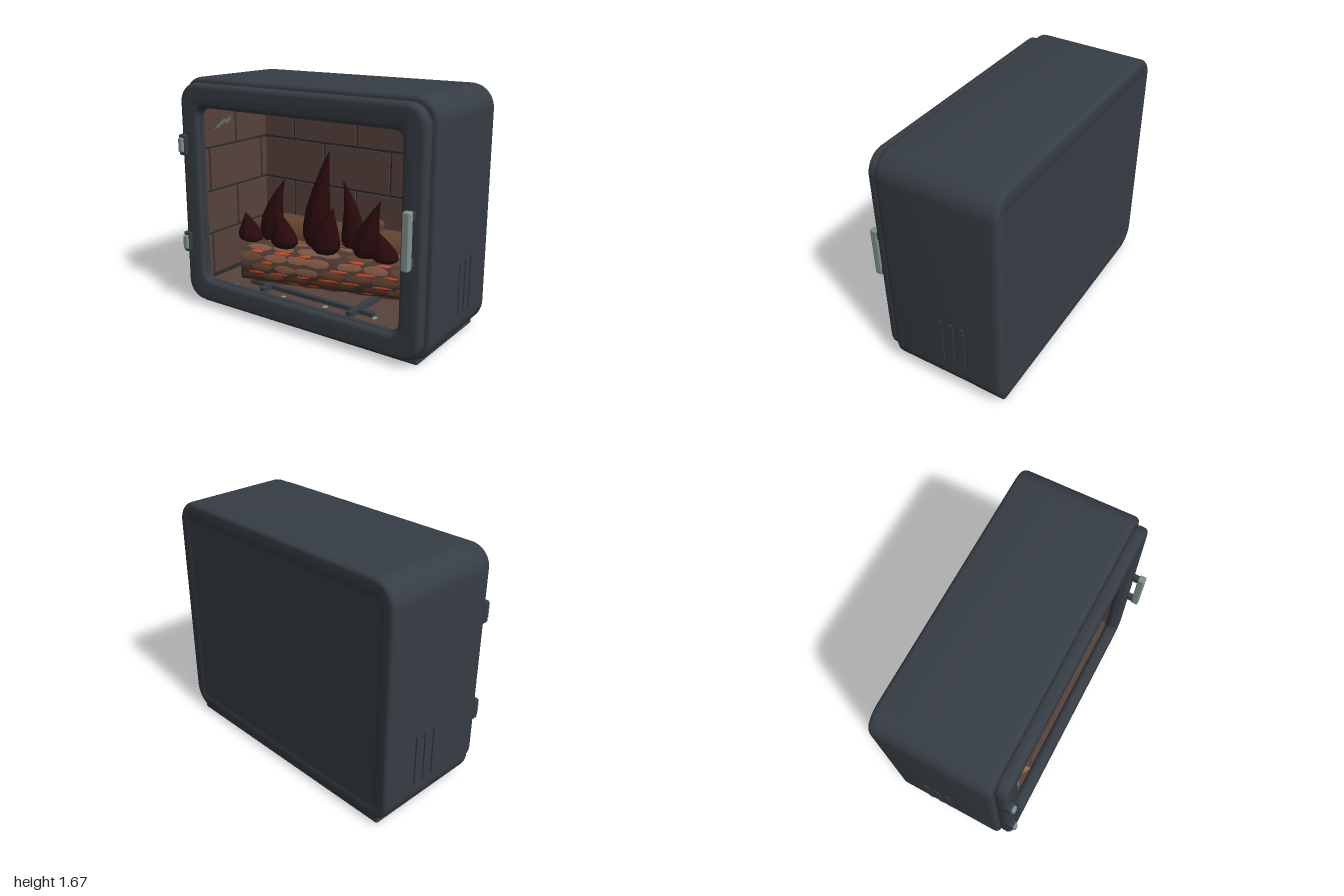
import * as THREE from 'three';
import { mergeGeometries, toCreasedNormals } from 'three/addons/utils/BufferGeometryUtils.js';
import { RoundedBoxGeometry } from 'three/addons/geometries/RoundedBoxGeometry.js';

const mat = (name, color, side = THREE.FrontSide) => {
  const m = new THREE.MeshStandardMaterial({ color, side });
  m.name = name;
  return m;
};

export function createModel() {
  const M = {
    metal: mat('dark metal', 0x363d44),
    silver: mat('brushed silver', 0x7f928f, THREE.DoubleSide),
    brick: mat('brick', 0x58433c),
    mortar: mat('mortar', 0x2b2c2d),
    bark: mat('charred bark', 0x4a3833),
    plateDark: mat('brown bark', 0x63442f),
    plateLight: mat('light bark', 0x7f5640),
    ember: mat('ember', 0xe0451f),
    wood: mat('cut wood', 0xa67c4a),
    flame: mat('dark flame', 0x2a0a0c),
  };
  const root = new THREE.Group();
  root.name = 'fireplaceStove';
  let seed = 7;
  const rnd = () => (seed = (seed * 16807) % 2147483647) / 2147483647;
  const add = (name, geo, m, parent = root) => {
    const mesh = new THREE.Mesh(geo, m);
    mesh.name = name;
    parent.add(mesh);
    return mesh;
  };
  const box = (x0, x1, y0, y1, z0, z1, r = 0) => {
    const s = [x1 - x0, y1 - y0, z1 - z0];
    const g = r ? new RoundedBoxGeometry(...s, 2, r) : new THREE.BoxGeometry(...s);
    return g.translate((x0 + x1) / 2, (y0 + y1) / 2, (z0 + z1) / 2);
  };
  const group = (name) => {
    const g = new THREE.Group();
    g.name = name;
    root.add(g);
    return g;
  };

  // Rounded rectangle, extruded from z0 to z1, with an optional opening
  const roundRect = (P, hw, y0, y1, r) => {
    const p = new P();
    p.absarc(hw - r, y1 - r, r, 0, Math.PI / 2);
    p.absarc(-hw + r, y1 - r, r, Math.PI / 2, Math.PI);
    p.absarc(-hw + r, y0 + r, r, Math.PI, Math.PI * 1.5);
    p.absarc(hw - r, y0 + r, r, Math.PI * 1.5, Math.PI * 2);
    p.closePath();
    return p;
  };
  const slab = (outer, hole, z0, z1, bt, bs, segs = 3) => {
    const s = roundRect(THREE.Shape, ...outer);
    if (hole) s.holes.push(roundRect(THREE.Path, ...hole));
    const g = new THREE.ExtrudeGeometry(s, {
      depth: z1 - z0 - 2 * bt, bevelThickness: bt, bevelSize: bs,
      bevelOffset: -bs, bevelSegments: segs, curveSegments: 8,
    });
    return toCreasedNormals(g.translate(0, 0, z0 + bt), 0.6);
  };

  // Casing, slightly narrower at the back
  const casing = slab([1, 0.025, 1.67, 0.16], [0.88, 0.15, 1.53, 0.02], -0.49, 0.32, 0.035, 0.025);
  const cp = casing.attributes.position;
  for (let i = 0; i < cp.count; i++) {
    cp.setX(i, cp.getX(i) * (1 - 0.012 * (0.32 - cp.getZ(i)) / 0.81));
  }
  add('casing', casing, M.metal);
  add('backPanel', slab([0.95, 0.06, 1.635, 0.13], null, -0.488, -0.43, 0.008, 0.008, 1), M.metal);
  add('base', box(-0.91, 0.91, 0, 0.12, -0.475, 0.31, 0.015), M.metal);
  for (const s of [-1, 1]) {
    for (const z of [-0.065, -0.145, -0.225]) {
      add('sideVent', box(-0.014, 0.014, 0.24, 0.6, z - 0.015, z + 0.015).translate(s * 0.988, 0, 0), M.metal);
    }
  }

  // Door with opening, inner seal, hinges and handle
  add('doorFrame', slab([0.965, 0.05, 1.635, 0.14], [0.81, 0.21, 1.475, 0.07], 0.31, 0.4, 0.03, 0.03, 4), M.metal);
  add('doorSeal', slab([0.85, 0.17, 1.515, 0.09], [0.802, 0.218, 1.467, 0.065], 0.33, 0.365, 0.008, 0.008, 2), M.metal);
  for (const y of [0.485, 1.2]) {
    add('hingePlate', box(-0.97, -0.908, y - 0.075, y + 0.075, 0.38, 0.425, 0.012), M.metal);
    add('hingePin', box(-0.962, -0.92, y - 0.052, y + 0.052, 0.39, 0.443, 0.01), M.silver);
  }
  add('handleBar', box(0.872, 0.922, 0.67, 1.03, 0.44, 0.49, 0.01), M.silver);
  for (const y of [0.705, 0.995]) {
    add('handlePost', box(0.88, 0.914, y - 0.025, y + 0.025, 0.38, 0.45), M.metal);
  }
  const glint = new THREE.Shape([[-0.685, 1.325], [-0.64, 1.345], [-0.58, 1.39], [-0.57, 1.375], [-0.515, 1.42],
    [-0.535, 1.42], [-0.51, 1.45], [-0.57, 1.405], [-0.585, 1.415], [-0.65, 1.365]].map((p) => new THREE.Vector2(...p)));
  add('glassGlint', new THREE.ShapeGeometry(glint).translate(0, 0, 0.36), M.silver);

  // Brick lining: staggered courses clipped to each wall
  const wall = (name, hw) => {
    const g = group(name);
    add('mortar', box(-hw, hw, 0.15, 1.53, -0.04, -0.012), M.mortar, g);
    const bricks = [];
    for (let row = 0; row < 4; row++) {
      for (let k = -3; k < 4; k++) {
        const c = (k + (row % 2 ? 0.5 : 0)) * 0.57;
        const a = Math.max(-hw, c - 0.275), b = Math.min(hw, c + 0.275);
        if (b - a > 0.03) bricks.push(box(a, b, 0.21 + row * 0.32, 0.51 + row * 0.32, -0.02, 0));
      }
    }
    add('bricks', mergeGeometries(bricks), M.brick, g);
    return g;
  };
  wall('backWall', 0.87).position.z = -0.38;
  for (const s of [-1, 1]) {
    const w = wall('sideWall', 0.35);
    w.position.set(s * 0.85, 0, -0.04);
    w.rotation.y = -s * Math.PI / 2;
  }
  add('hearthFloor', box(-0.87, 0.87, 0.13, 0.17, -0.4, 0.32), M.brick);
  add('fireboxCeiling', box(-0.87, 0.87, 1.5, 1.535, -0.4, 0.31), M.mortar);

  // Grate bars and ash flakes on the floor
  for (const z of [0.16, -0.2]) add('grateRail', box(-0.55, 0.5, 0.17, 0.2, z - 0.018, z + 0.018), M.metal);
  for (const x of [-0.37, 0.37]) add('grateCrossBar', box(x - 0.02, x + 0.02, 0.17, 0.21, -0.25, 0.27), M.metal);
  for (const [x, z] of [[-0.4, 0.21], [-0.19, 0.25], [0.15, 0.22], [0.52, 0.18], [-0.62, 0.27]]) {
    const ash = add('ashFlake', new THREE.IcosahedronGeometry(0.025, 0).scale(1, 0.3, 0.7), M.silver);
    ash.position.set(x, 0.175, z);
    ash.rotation.y = x * 9;
  }

  // Main log, lying along x with a slanted left cut
  const R = 0.152, L = 1.32;
  const log = group('mainLog');
  log.position.set(0.015, 0.37, 0.02);
  log.rotation.y = 0.27;
  const slant = (g) => {
    const p = g.attributes.position;
    for (let i = 0; i < p.count; i++) {
      const w = THREE.MathUtils.clamp(-p.getX(i) / (L / 2), 0, 1);
      p.setX(i, p.getX(i) + 0.48 * p.getZ(i) * w);
    }
    g.computeVertexNormals();
    return g;
  };
  add('logCore', slant(new THREE.CylinderGeometry(R, R, L, 20, 6, true).rotateZ(-Math.PI / 2)), M.bark, log);
  for (const s of [-1, 1]) {
    add('cutEnd', slant(new THREE.CircleGeometry(R + 0.004, 20).rotateY(s * Math.PI / 2).translate(s * L / 2, 0, 0)), M.wood, log);
  }
  for (const a of [0.5, 2.9, 4.4]) {
    const crack = new THREE.CircleGeometry(0.03, 3).scale(1, 0.12, 1).translate(0.11, 0, 0).rotateZ(a);
    add('endCrack', slant(crack.rotateY(-Math.PI / 2).translate(-L / 2 - 0.003, 0, 0)), M.bark, log);
  }
  // Irregular patch wrapped round the log
  const patch = (u, ang, su, sa, lift) => {
    const g = new THREE.CircleGeometry(1, 8);
    const p = g.attributes.position;
    for (let i = 0; i < p.count; i++) {
      const k = i === 0 ? 0 : 0.82 + 0.3 * rnd();
      const a = ang + p.getY(i) * k * sa;
      const r = R + lift + (i === 0 ? 0.006 : 0);
      const x = THREE.MathUtils.clamp(u + p.getX(i) * k * su, -L / 2, L / 2);
      p.setXYZ(i, x, r * Math.sin(a), r * Math.cos(a));
    }
    const last = p.count - 1;
    p.setXYZ(last, p.getX(1), p.getY(1), p.getZ(1));
    return slant(g);
  };
  const light = [], dark = [], embers = [];
  for (let row = 0; row < 13; row++) {
    const a = row * Math.PI * 2 / 13 - 1.45;
    for (let k = 0; k < 7; k++) {
      const u = -0.57 + k * 0.19 + (row % 2) * 0.08 + (rnd() - 0.5) * 0.05;
      const upper = Math.sin(a) > 0.3;
      (rnd() < (upper ? 0.75 : 0.35) ? light : dark).push(patch(u, a, 0.1, 0.2, 0.004));
      if (row < 5 && rnd() < 0.75) embers.push(patch(u + 0.05, a + 0.24, 0.05 + 0.03 * rnd(), 0.06, 0.008));
    }
  }
  add('lightBarkPlates', mergeGeometries(light), M.plateLight, log);
  add('brownBarkPlates', mergeGeometries(dark), M.plateDark, log);
  add('emberCracks', mergeGeometries(embers), M.ember, log);

  // Split log behind, cut face up, and a stub leaning on the back
  const split = group('splitLog');
  split.position.set(0.05, 0.49, -0.2);
  split.rotation.y = 0.1;
  add('splitBark', new THREE.CylinderGeometry(0.15, 0.15, 1.1, 12, 1, false, Math.PI / 2, Math.PI)
    .rotateZ(Math.PI / 2).rotateX(Math.PI / 2).scale(1, 1, 0.9), M.plateDark, split).rotation.x = 0;
  add('splitFace', box(-0.55, 0.55, -0.004, 0.01, -0.135, 0.135), M.wood, split);
  const stub = add('stubLog', new THREE.CylinderGeometry(0.06, 0.07, 0.24, 8), M.plateDark);
  stub.position.set(0.27, 0.58, -0.2);
  stub.rotation.z = -0.15;

  // Flames: base x, tip x, tip y, radius, z, sideways sway
  const profile = [[0, 0], [0.7, 0.03], [0.97, 0.12], [1, 0.22], [0.88, 0.4], [0.62, 0.6], [0.34, 0.79], [0.12, 0.93], [0, 1]];
  for (const [x, tip, top, r, z, sway] of [
    [-0.54, -0.59, 0.71, 0.1, 0.17, 0], [-0.4, -0.285, 0.98, 0.095, 0.09, -0.02],
    [-0.25, -0.31, 0.77, 0.105, 0.15, 0], [-0.07, 0.045, 1.21, 0.105, 0.02, 0],
    [0.055, 0.125, 0.84, 0.11, 0.09, 0], [0.15, 0.075, 0.99, 0.085, -0.1, 0.02],
    [0.33, 0.45, 0.92, 0.095, 0.01, 0], [0.48, 0.43, 0.7, 0.1, 0.0, 0]]) {
    const g = new THREE.LatheGeometry(profile.map(([a, b]) => new THREE.Vector2(a * r, b * (top - 0.5))), 12);
    const p = g.attributes.position;
    for (let i = 0; i < p.count; i++) {
      const t = p.getY(i) / (top - 0.5);
      p.setX(i, p.getX(i) + (tip - x) * t * t + sway * Math.sin(Math.PI * t));
      p.setZ(i, p.getZ(i) * 0.75);
    }
    g.computeVertexNormals();
    add('flame', g, M.flame).position.set(x, 0.5, z);
  }
  return root;
}
